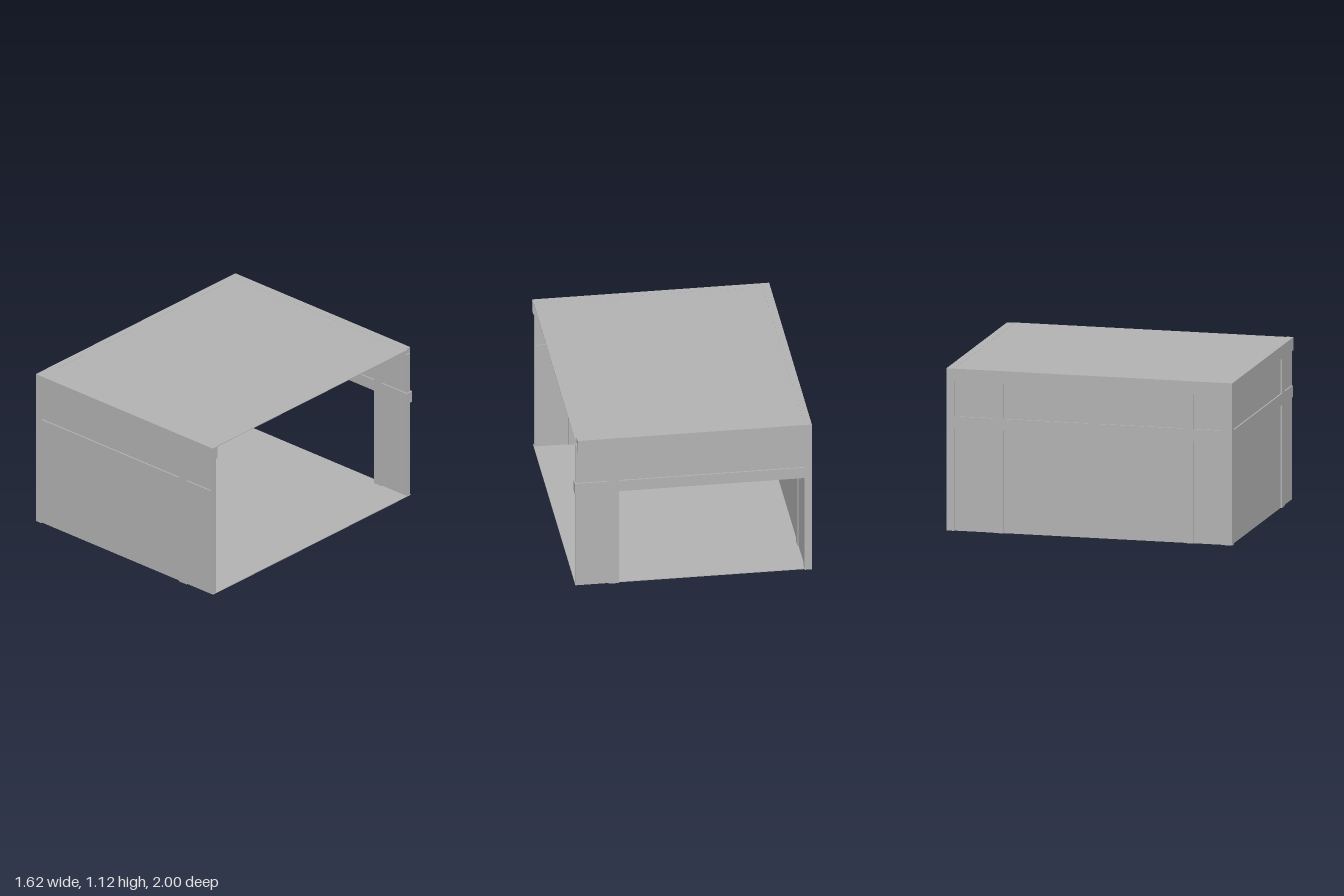
import * as THREE from 'three';

const concrete = new THREE.MeshStandardMaterial({ color: 0xb2b2b2 });
concrete.name = 'plain grey';

// Box given by its ranges on each axis
function block(parent, name, [x0, x1], [y0, y1], [z0, z1]) {
  const mesh = new THREE.Mesh(new THREE.BoxGeometry(x1 - x0, y1 - y0, z1 - z0), concrete);
  mesh.name = name;
  mesh.position.set((x0 + x1) / 2, (y0 + y1) / 2, (z0 + z1) / 2);
  parent.add(mesh);
}

const TOP = 1.12, HEAD = [1.03, TOP], BELT = [0.71, 0.79], POST = [0, 1.03];

function wall(name, parent) {
  const g = new THREE.Group();
  g.name = name;
  parent.add(g);
  return g;
}

export function createModel() {
  const model = new THREE.Group();
  model.name = 'openGarage';

  // Thin floor and roof slabs
  block(model, 'floor', [-0.8, 0.805], [0, 0.005], [-0.99, 0.99]);
  block(model, 'roof', [-0.8, 0.805], [TOP - 0.006, TOP - 0.001], [-0.96, 0.99]);

  // Front wall: recessed panel with raised frame on both faces
  const front = wall('frontWall', model), fz = [0.95, 1];
  block(front, 'frontPanel', [-0.78, 0.8], [0, 1.08], [0.957, 0.99]);
  block(front, 'frontHeader', [-0.76, 0.81], HEAD, fz);
  block(front, 'frontBelt', [-0.76, 0.79], BELT, fz);
  block(front, 'frontPost', [0.5, 0.57], POST, fz);

  // Back wall: doorway under the belt
  const back = wall('backWall', model), bz = [-1, -0.945], pz = [-0.99, -0.955];
  block(back, 'backUpperPanel', [-0.78, 0.8], [0.75, 1.08], pz);
  block(back, 'backSidePanel', [0.55, 0.8], [0, 0.75], pz);
  block(back, 'backHeader', [-0.76, 0.79], HEAD, bz);
  block(back, 'backBelt', [-0.76, 0.81], BELT, bz);
  block(back, 'backPost', [0.51, 0.58], POST, bz);

  // Side wall: full length, the opposite side stays open
  const side = wall('sideWall', model), sx = [-0.81, -0.76];
  block(side, 'sidePanel', [-0.8, -0.767], [0, 1.08], [-0.97, 0.97]);
  block(side, 'sideHeader', sx, HEAD, [-0.945, 0.95]);
  block(side, 'sideBelt', sx, BELT, [-0.945, 0.95]);
  for (const z of [-0.635, 0.695]) block(side, 'sidePost', sx, POST, [z - 0.035, z + 0.035]);
  block(side, 'sideUpperStud', sx, [0.79, 1.03], [0, 0.07]);

  // Corner posts shared by neighbouring walls
  block(model, 'frontCornerPost', sx, [0, TOP], fz);
  block(model, 'backCornerPost', sx, [0, TOP], bz);

  return model;
}
